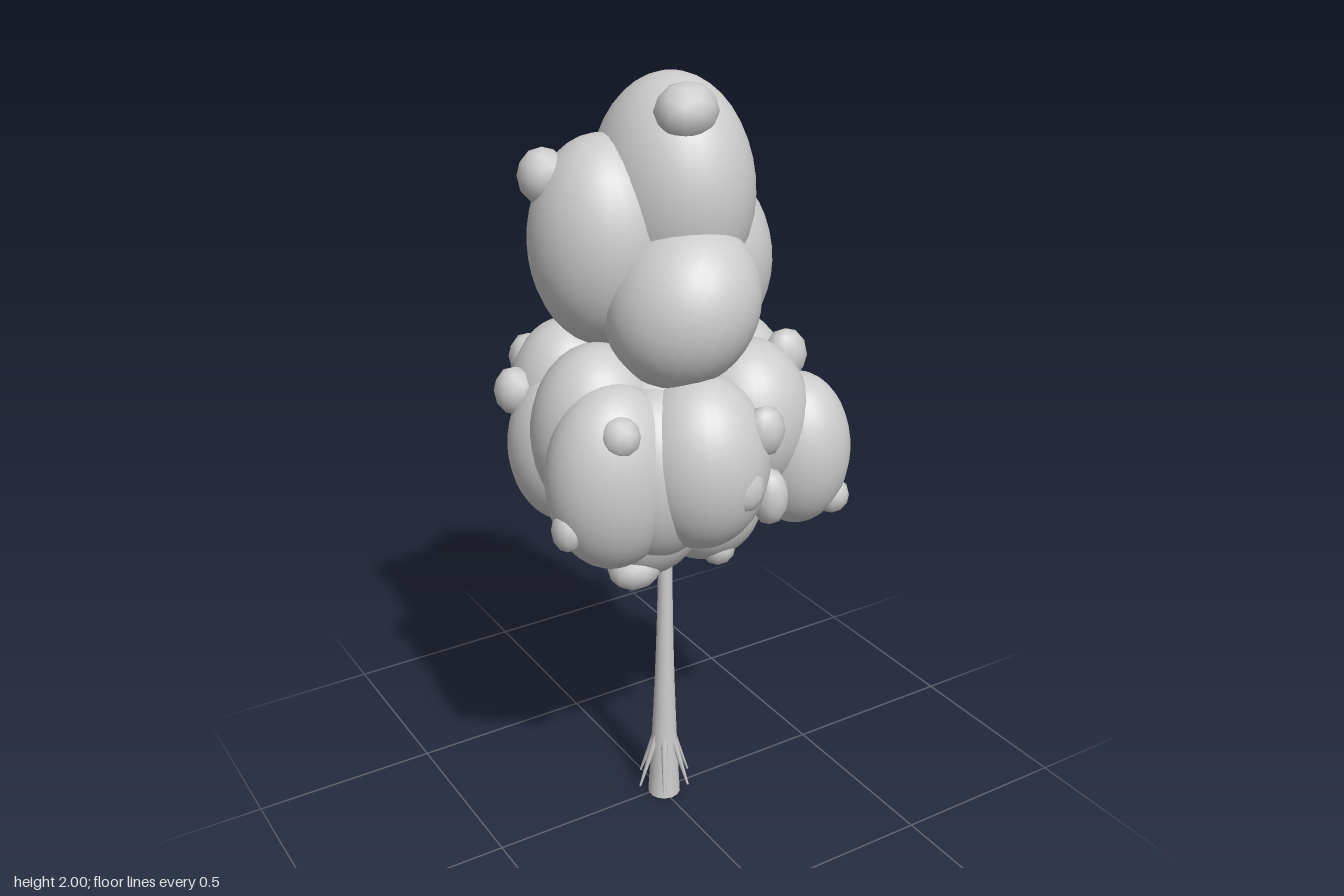
import * as THREE from 'three';

const grey = new THREE.MeshStandardMaterial({ color: 0xcccccc });
grey.name = 'plain grey';

// each row: centre x, y, z, radii x, y, z, then an optional sideways tilt
const UPPER_CLUMPS = [
  [0.037, 1.72, -0.01, 0.19, 0.278, 0.22],
  [-0.13, 1.61, -0.055, 0.178, 0.255, 0.185],
  [-0.02, 1.485, 0.13, 0.178, 0.205, 0.19, -0.55],
  [0.12, 1.54, -0.01, 0.174, 0.23, 0.18],
  [0.06, 1.44, -0.16, 0.18, 0.2, 0.18],
];
const LOWER_CLUMPS = [
  [0, 1.13, 0, 0.28, 0.27, 0.3],
  [0.268, 1.08, 0.21, 0.135, 0.2, 0.142],
  [-0.23, 1.1, 0.16, 0.17, 0.235, 0.145],
  [-0.12, 1.09, 0.17, 0.16, 0.22, 0.155],
  [-0.03, 1.12, 0.23, 0.17, 0.22, 0.17],
  [0.14, 1.18, 0.17, 0.16, 0.2, 0.16],
  [0.19, 1.19, 0.02, 0.155, 0.21, 0.17],
  [0.2, 1.19, -0.07, 0.15, 0.2, 0.16],
  [0.22, 1.08, -0.2, 0.135, 0.19, 0.155],
  [0.18, 1.21, -0.16, 0.16, 0.19, 0.16],
  [0, 1.12, -0.235, 0.145, 0.2, 0.15],
  [0.1, 1.13, -0.2, 0.15, 0.19, 0.15],
  [-0.11, 1.15, -0.18, 0.15, 0.21, 0.15],
  [-0.19, 1.2, -0.14, 0.145, 0.2, 0.145],
  [-0.24, 1.1, -0.07, 0.14, 0.2, 0.145],
  [-0.21, 1.17, 0.05, 0.165, 0.225, 0.16],
  [-0.12, 0.96, 0.09, 0.165, 0.17, 0.17],
  [0.06, 0.94, -0.09, 0.155, 0.15, 0.17],
  [0.05, 0.96, 0.12, 0.155, 0.16, 0.15],
];
const BUDS = [
  [0, 1.93, 0.11, 0.078, 0.068, 0.068],
  [-0.255, 1.77, -0.11, 0.06, 0.068, 0.062],
  [0.205, 1.72, -0.11, 0.05, 0.07, 0.068],
  [0.11, 1.54, -0.3, 0.072, 0.075, 0.062],
  [0.335, 1.25, -0.05, 0.045, 0.06, 0.05],
  [0.265, 1.31, 0.155, 0.058, 0.07, 0.05],
  [0.28, 1.14, -0.29, 0.052, 0.062, 0.05],
  [0, 1.18, -0.355, 0.05, 0.058, 0.046],
  [-0.26, 1.24, 0.245, 0.05, 0.052, 0.05],
  [0.085, 1.21, 0.33, 0.052, 0.065, 0.044],
  [0.01, 1.09, 0.375, 0.045, 0.055, 0.026],
  [0.11, 1.03, 0.325, 0.045, 0.075, 0.048],
  [0.335, 0.96, 0.28, 0.045, 0.048, 0.045],
  [-0.37, 1.0, 0.18, 0.035, 0.052, 0.045],
  [-0.335, 1.24, -0.14, 0.052, 0.062, 0.055],
  [-0.255, 1.29, -0.215, 0.052, 0.062, 0.055],
  [-0.12, 1.1, -0.29, 0.045, 0.062, 0.045],
  [0.05, 0.85, 0.19, 0.045, 0.048, 0.05],
  [-0.18, 0.845, 0.17, 0.07, 0.055, 0.06],
];

function addEllipsoids(group, geometry, rows, name) {
  rows.forEach(([x, y, z, rx, ry, rz, tilt = 0], i) => {
    const mesh = new THREE.Mesh(geometry, grey);
    mesh.name = `${name}${i + 1}`;
    mesh.position.set(x, y, z);
    mesh.scale.set(rx, ry, rz);
    mesh.rotation.z = tilt;
    group.add(mesh);
  });
}

// cone running from one point to another
function limb(from, to, rFrom, rTo, sides, name) {
  const a = new THREE.Vector3(...from);
  const b = new THREE.Vector3(...to);
  const mesh = new THREE.Mesh(
    new THREE.CylinderGeometry(rTo, rFrom, a.distanceTo(b), sides), grey);
  mesh.position.copy(a).add(b).multiplyScalar(0.5);
  mesh.quaternion.setFromUnitVectors(new THREE.Vector3(0, 1, 0), b.sub(a).normalize());
  mesh.name = name;
  return mesh;
}

export function createModel() {
  const tree = new THREE.Group();
  tree.name = 'tree';

  // trunk: tapering rings along a slight lean
  const trunkGeo = new THREE.CylinderGeometry(1, 1, 1, 14, 10);
  const p = trunkGeo.attributes.position;
  for (let i = 0; i < p.count; i++) {
    const t = p.getY(i) + 0.5;
    const r = 0.018 + 0.027 * Math.pow(1 - t, 2);
    p.setXYZ(i, 0.006 + 0.012 * t + p.getX(i) * r, t * 0.9,
      0.008 - 0.014 * t + p.getZ(i) * r);
  }
  trunkGeo.computeVertexNormals();
  const trunk = new THREE.Mesh(trunkGeo, grey);
  trunk.name = 'trunk';
  tree.add(trunk);

  // thin pointed roots flaring down around the base
  const roots = new THREE.Group();
  roots.name = 'roots';
  for (let i = 0; i < 6; i++) {
    const a = (i / 6) * Math.PI * 2;
    const c = Math.cos(a), s = Math.sin(a);
    roots.add(limb([0.007 + c * 0.024, 0.19, 0.006 + s * 0.024],
      [0.007 + c * 0.078, 0.04, 0.006 + s * 0.074], 0.01, 0.003, 6, `root${i + 1}`));
  }
  tree.add(roots);

  // leafy crown
  const crown = new THREE.Group();
  crown.name = 'crown';
  const clumpGeo = new THREE.SphereGeometry(1, 28, 20);
  const budGeo = new THREE.IcosahedronGeometry(1, 1);
  addEllipsoids(crown, clumpGeo, UPPER_CLUMPS, 'upperClump');
  addEllipsoids(crown, clumpGeo, LOWER_CLUMPS, 'lowerClump');
  addEllipsoids(crown, budGeo, BUDS, 'leafBud');
  tree.add(crown);
  return tree;
}
